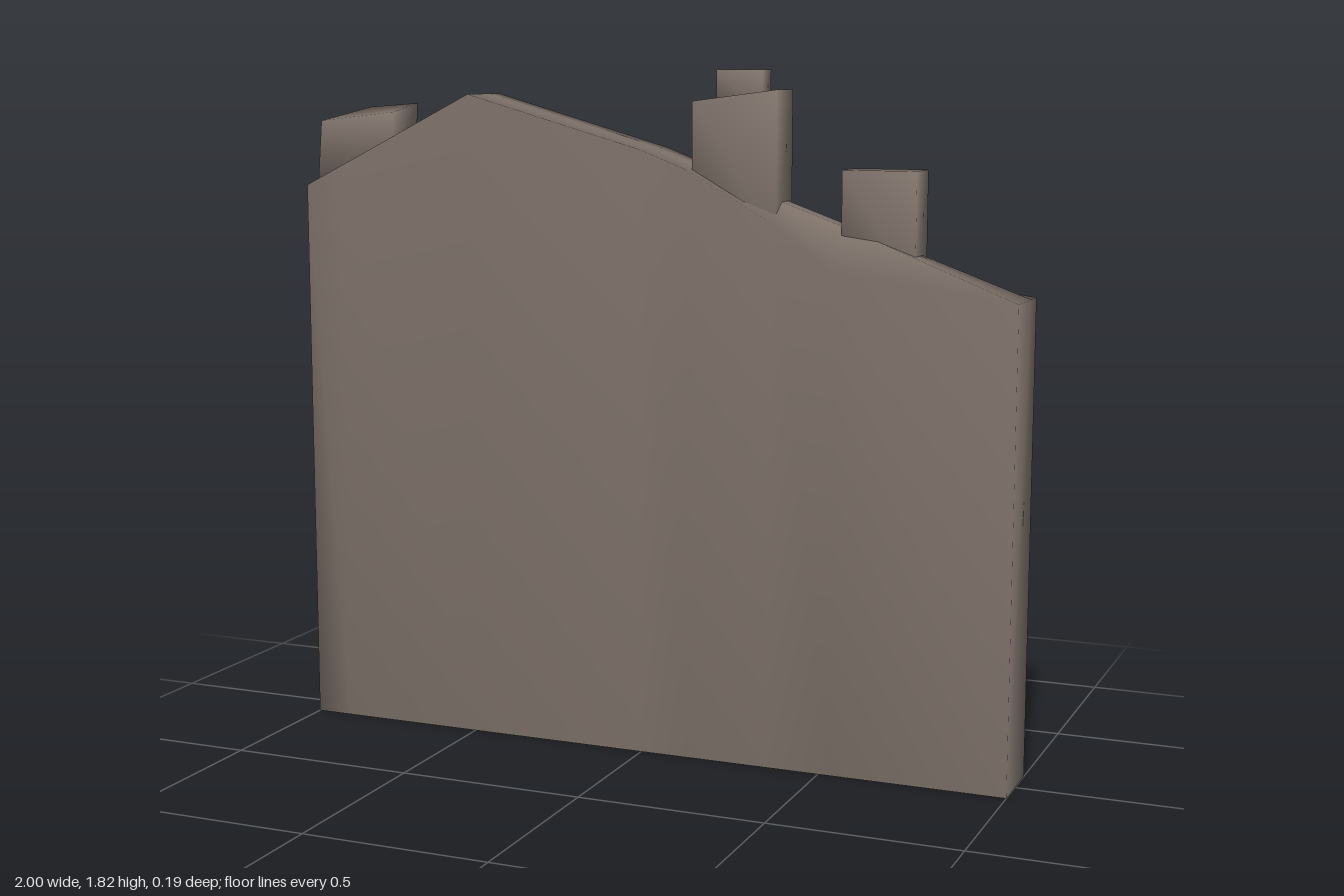
import * as THREE from 'three';

// Skins a row of equal-length rings (counter-clockwise seen from +x) into a closed,
// softly shaded solid with shared vertices.
function loft(rings) {
  const n = rings[0].length, index = [];
  for (let i = 0; i < rings.length - 1; i++) {
    for (let j = 0; j < n; j++) {
      const k = (j + 1) % n;
      const a = i * n + j, b = i * n + k, c = a + n, d = b + n;
      index.push(a, b, d, a, d, c);
    }
  }
  const end = (rings.length - 1) * n;
  for (let j = 1; j < n - 1; j++) {
    index.push(0, j + 1, j, end, end + j, end + j + 1);
  }
  const geometry = new THREE.BufferGeometry();
  geometry.setAttribute('position', new THREE.Float32BufferAttribute(rings.flat(2), 3));
  geometry.setIndex(index);
  geometry.computeVertexNormals();
  return geometry;
}

// Upright block whose top may slope from x0 to x1
function block(x0, x1, bottom, top0, top1, front, back) {
  const ring = (x, top) => [[x, bottom, front], [x, bottom, back], [x, top, back], [x, top, front]];
  return loft([ring(x0, top0), ring(x1, top1)]);
}

export function createModel() {
  const group = new THREE.Group();
  const stone = new THREE.MeshStandardMaterial({ color: 0x7d7169 });
  stone.name = 'warm grey stone';
  const add = (name, geometry) => {
    const mesh = new THREE.Mesh(geometry, stone);
    mesh.name = name;
    group.add(mesh);
  };

  // Wall slab: x, eave height, ridge height, back depth
  const sections = [
    [-1, 1.5, 1.5, -0.03],
    [-0.9, 1.55, 1.55, -0.07],
    [-0.5, 1.75, 1.75, -0.095],
    [0, 1.61, 1.61, -0.095],
    [0.13, 1.56, 1.563, -0.095],
    [0.36, 1.43, 1.48, -0.095],
    [0.53, 1.31, 1.42, -0.095],
    [1, 1.25, 1.25, -0.095],
  ];
  const front = 0.093;
  add('wall', loft(sections.map(([x, eave, ridge, back]) => [
    [x, 0, front], [x, 0, back], [x, eave, back],
    [x, ridge, Math.max(back + 0.02, -0.035)], [x, ridge, 0.015], [x, eave, front],
  ])));

  // Chimneys on the falling roof
  add('tallChimney', block(0.13, 0.36, 1.38, 1.735, 1.765, 0.062, -0.062));
  add('chimneyPot', block(0.185, 0.31, 1.7, 1.815, 1.815, 0.03, -0.035));
  add('shortChimney', block(0.525, 0.72, 1.27, 1.565, 1.565, 0.03, -0.075));

  // Skewed dormer near the low left end
  add('dormer', loft([
    [[-0.985, 1.46, 0.065], [-0.9, 1.46, -0.045], [-0.87, 1.712, -0.04], [-0.97, 1.675, 0.06]],
    [[-0.755, 1.56, 0.045], [-0.755, 1.56, -0.085], [-0.755, 1.722, -0.097], [-0.757, 1.7, 0.04]],
  ]));

  return group;
}
